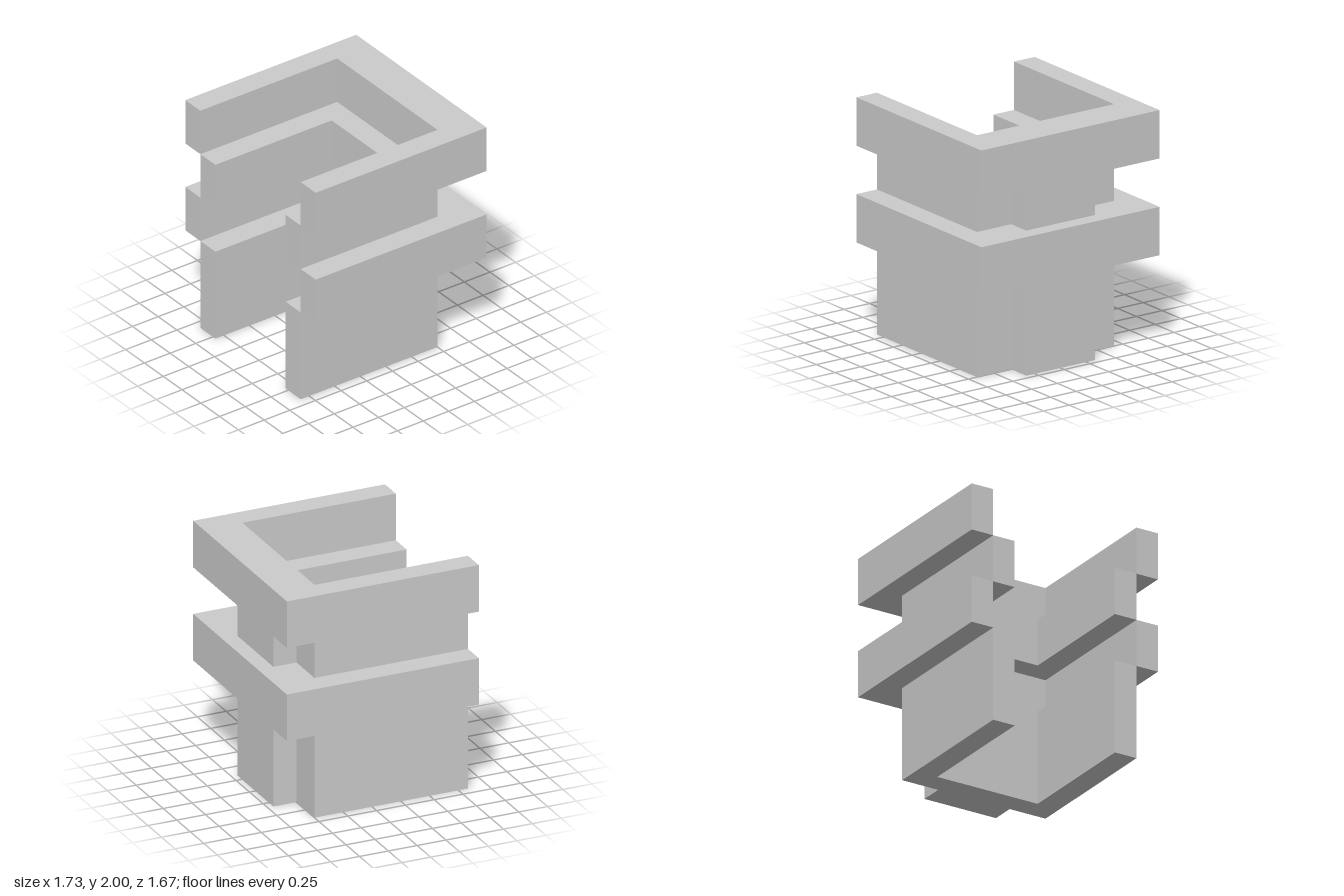
import * as THREE from 'three';

const material = new THREE.MeshStandardMaterial({ color: 0xcccccc, flatShading: true });
const FRONT = 0.833;

// Raises a symmetric plan, given as [x, z] points of its +x half from front to back
function tier(name, half, bottom, height) {
  const mirrored = half.map(([x, z]) => [-x, z]).reverse();
  const shape = new THREE.Shape([...half, ...mirrored].map(([x, z]) => new THREE.Vector2(x, -z)));
  const geometry = new THREE.ExtrudeGeometry(shape, { depth: height, bevelEnabled: false });
  geometry.rotateX(-Math.PI / 2);
  const mesh = new THREE.Mesh(geometry, material);
  mesh.name = name;
  mesh.position.y = bottom;
  return mesh;
}

export function createModel() {
  const group = new THREE.Group();
  group.name = 'steppedEnclosure';

  // Narrow U-shaped wall with a raised panel at the back
  const wall = [[0.467, -0.3], [0.467, FRONT], [0.667, FRONT], [0.667, -0.5], [0.333, -0.5], [0.333, -0.7]];
  // Wide U-shaped band with a thick back
  const band = [[0.667, -0.5], [0.667, FRONT], [0.867, FRONT], [0.867, -FRONT]];

  group.add(
    tier('lowerWall', wall, 0, 0.8),
    tier('lowerBand', band, 0.8, 0.4),
    tier('upperWall', wall, 1.2, 0.4),
    tier('upperBand', band, 1.6, 0.4),
  );
  return group;
}
